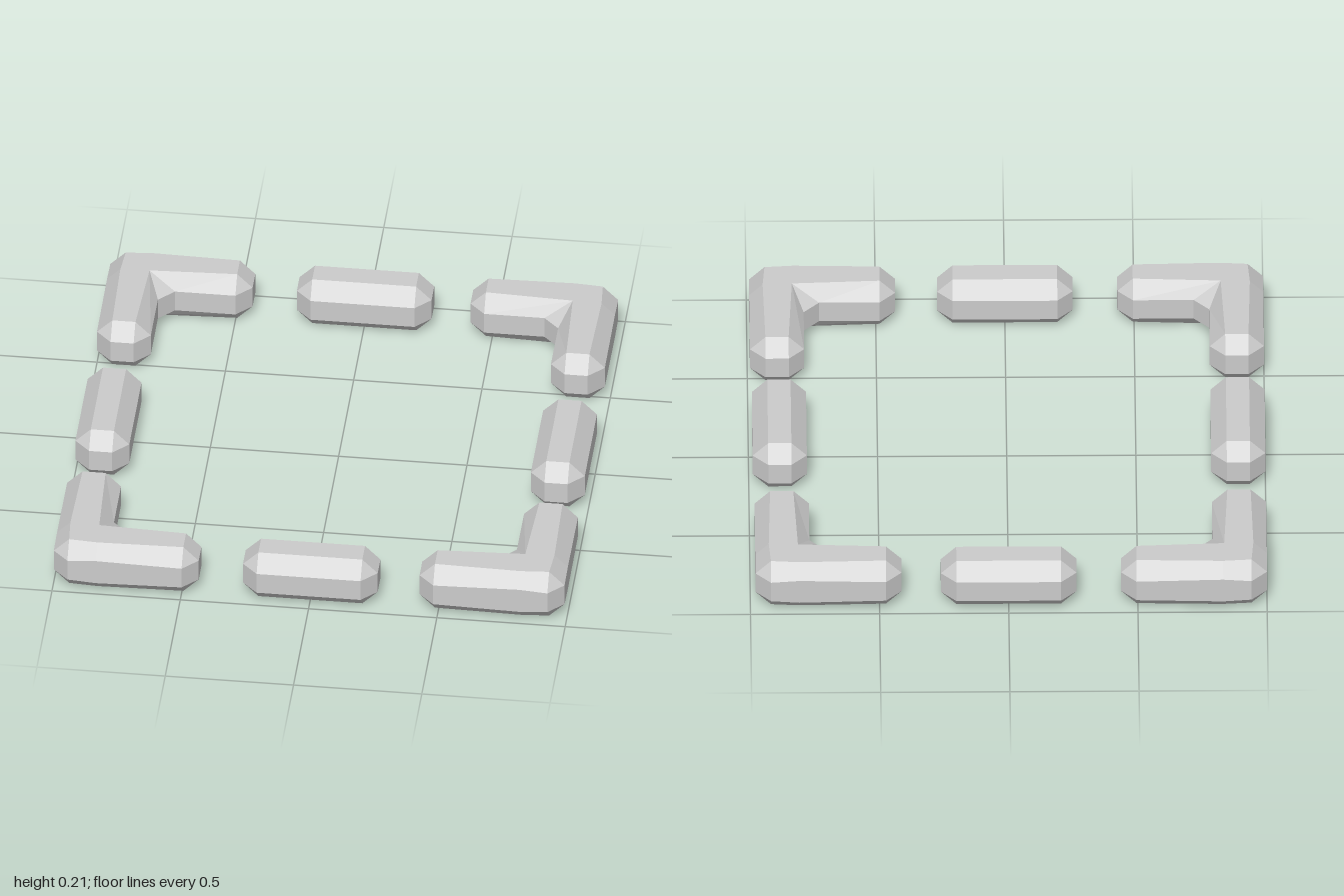
import * as THREE from 'three';

const W = 0.21;      // thickness of every segment
const C = 0.06;      // bevel size
const BAR = 0.525;   // straight segment length
const ARM = 0.565;   // corner segment arm length

const V = (x, y, z) => new THREE.Vector3(x, y, z);

// Bevelled octagon section across the x axis; z = 0 is the outer side
const octagon = (x) => [
  V(x, C, 0), V(x, W - C, 0), V(x, W, C), V(x, W, W - C),
  V(x, W - C, W), V(x, C, W), V(x, 0, W - C), V(x, 0, C),
];

// End face: the octagon pulled in to a small square
const endSquare = (x) => octagon(x).map((p) =>
  V(x, THREE.MathUtils.clamp(p.y, C, W - C), THREE.MathUtils.clamp(p.z, C, W - C)));

// Skins a row of sections with flat faces and closes both ends
function loft(rings) {
  const pos = [];
  const tri = (a, b, c) => {
    const area = b.clone().sub(a).cross(c.clone().sub(a)).length();
    if (area > 1e-7) for (const p of [a, b, c]) pos.push(p.x, p.y, p.z);
  };
  for (let i = 0; i < rings.length - 1; i++) {
    const a = rings[i], b = rings[i + 1];
    for (let j = 0; j < a.length; j++) {
      const k = (j + 1) % a.length;
      tri(a[j], b[j], b[k]);
      tri(a[j], b[k], a[k]);
    }
  }
  const first = rings[0], last = rings[rings.length - 1];
  for (let j = 1; j < first.length - 1; j++) {
    tri(first[0], first[j], first[j + 1]);
    tri(last[0], last[j + 1], last[j]);
  }
  const geo = new THREE.BufferGeometry();
  geo.setAttribute('position', new THREE.Float32BufferAttribute(pos, 3));
  geo.computeVertexNormals();
  return geo;
}

// Straight segment, centred along x and across z
function barGeometry() {
  const h = BAR / 2;
  return loft([endSquare(h), octagon(h - C), octagon(-h + C), endSquare(-h)])
    .translate(0, 0, -W / 2);
}

// L-shaped segment: outer corner at the origin, arms along +x and +z
function cornerGeometry() {
  const s = 0.052;                    // the flats widen slightly near the bend
  const m = 0.17, inner = 0.165, notch = 0.27;
  const inside = [
    V(inner, W, inner), V(notch, W - C, W), V(notch, C, W), V(inner, 0, inner),
  ];
  const elbow = [V(m, s, 0), V(m, W - s, 0), V(m, W, s), ...inside, V(m, 0, s)];
  const bend = [V(C, C, 0), V(C, W - C, 0), V(C, W, C), ...inside, V(C, 0, C)];
  const arm = [endSquare(ARM), octagon(ARM - C), elbow, bend];
  const otherArm = arm.map((ring) => ring.map((p) => V(p.z, p.y, p.x))).reverse();
  return loft([...arm, ...otherArm]);
}

export function createModel() {
  const model = new THREE.Group();
  model.name = 'segmentedSquareFrame';
  const material = new THREE.MeshStandardMaterial({ color: 0xcccccc, flatShading: true });
  const bar = barGeometry();
  const corner = cornerGeometry();
  const q = Math.PI / 2;

  const add = (name, geometry, x, z, turn) => {
    const mesh = new THREE.Mesh(geometry, material);
    mesh.name = name;
    mesh.position.set(x, 0, z);
    mesh.rotation.y = turn;
    model.add(mesh);
  };

  // Corner segments
  add('backRightCorner', corner, -1, -1, 0);
  add('backLeftCorner', corner, 0.98, -0.995, -q);
  add('frontLeftCorner', corner, 0.99, 0.995, 2 * q);
  add('frontRightCorner', corner, -1, 1, q);

  // Straight segments between them
  add('backBar', bar, 0, -0.895, 0);
  add('frontBar', bar, 0, 0.895, 0);
  add('rightBar', bar, -0.895, 0.017, q);
  add('leftBar', bar, 0.88, 0.017, q);

  return model;
}
